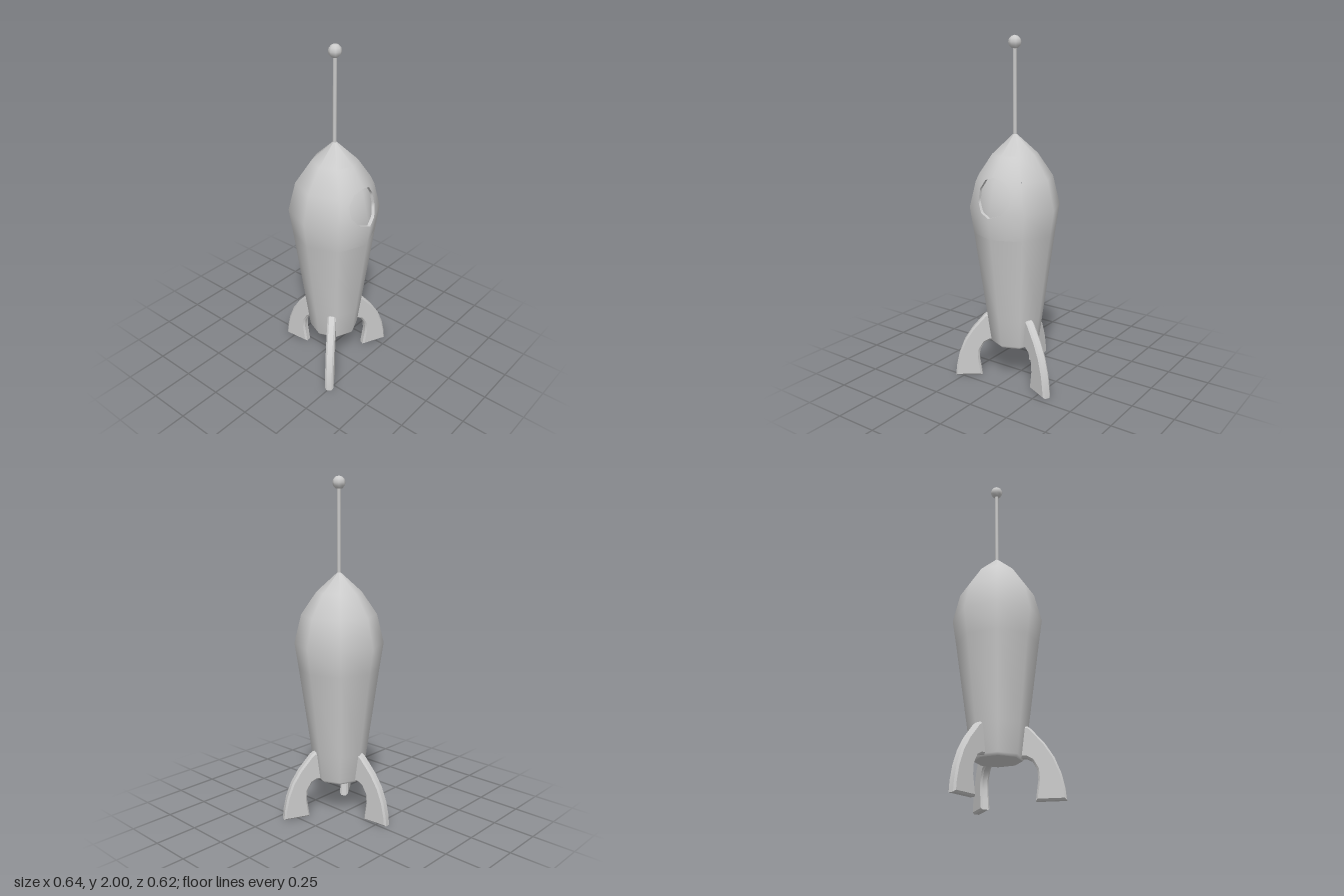
import * as THREE from 'three';
import { toCreasedNormals } from 'three/addons/utils/BufferGeometryUtils.js';

const material = new THREE.MeshStandardMaterial({ color: 0xcccccc });
const doubleSided = new THREE.MeshStandardMaterial({ color: 0xcccccc, side: THREE.DoubleSide });

// Hull profile as [radius, height], bottom to top
const PROFILE = [
  [0.132, 0.22], [0.145, 0.235], [0.168, 0.4], [0.238, 0.9],
  [0.261, 1.053], [0.22, 1.222], [0.13, 1.354], [0.003, 1.47],
];
const SIDES = 8;
const S = Math.SQRT1_2;
// Profile rows whose two front facets are replaced by the window panel
const ROW_FROM = 3, ROW_TO = 6;
const WINDOW = { y: 1.135, radius: 0.11, depth: 0.02 };
const AROUND = 40;

function addMesh(parent, name, geometry, mat = material) {
  const mesh = new THREE.Mesh(geometry, mat);
  mesh.name = name;
  parent.add(mesh);
  return mesh;
}

// Interpolate a per-row value at a given height
function alongProfile(y, valueAt) {
  let i = 0;
  while (i < PROFILE.length - 2 && y > PROFILE[i + 1][1]) i++;
  const t = (y - PROFILE[i][1]) / (PROFILE[i + 1][1] - PROFILE[i][1]);
  return THREE.MathUtils.lerp(valueAt(i), valueAt(i + 1), t);
}
const radiusAt = (y) => alongProfile(y, (i) => PROFILE[i][0]);

// Upward tilt of the hull normal, averaged at each row
const segmentTilt = (i) => Math.atan2(PROFILE[i][0] - PROFILE[i + 1][0], PROFILE[i + 1][1] - PROFILE[i][1]);
const rowTilt = (i) => (segmentTilt(Math.max(i - 1, 0)) + segmentTilt(Math.min(i, PROFILE.length - 2))) / 2;

// Closed loops of points lying on the front facets of the hull
function frontSurface(steps, pointAt) {
  const pos = [], nor = [], index = [];
  for (let k = 0; k <= steps; k++) {
    for (let a = 0; a <= AROUND; a++) {
      const { x, y, inset } = pointAt(k / steps, (a / AROUND) * Math.PI * 2);
      const r = radiusAt(y);
      const turn = (x / (r * S)) * Math.PI / 4;
      const tilt = alongProfile(y, rowTilt);
      pos.push(x, y, r - Math.abs(x) * (Math.SQRT2 - 1) - inset);
      nor.push(Math.sin(turn) * Math.cos(tilt), Math.sin(tilt), Math.cos(turn) * Math.cos(tilt));
      if (k < steps && a < AROUND) {
        const p = k * (AROUND + 1) + a, q = p + AROUND + 1;
        index.push(p, q, q + 1, p, q + 1, p + 1);
      }
    }
  }
  const g = new THREE.BufferGeometry();
  g.setAttribute('position', new THREE.Float32BufferAttribute(pos, 3));
  g.setAttribute('normal', new THREE.Float32BufferAttribute(nor, 3));
  g.setIndex(index);
  return g;
}

// Ten-sided window outline
function windowPoint(angle, scale = 1) {
  const sector = Math.PI / 5;
  const local = THREE.MathUtils.euclideanModulo(angle - Math.PI / 2 + 1e-6, sector) - sector / 2;
  const r = scale * WINDOW.radius * Math.cos(sector / 2) / Math.cos(local);
  return { x: r * Math.cos(angle), y: WINDOW.y + r * Math.sin(angle) };
}

// Outer border of the window panel
function panelPoint(angle) {
  const c = Math.cos(angle), s = Math.sin(angle);
  const m = Math.max(Math.abs(c), Math.abs(s));
  const low = PROFILE[ROW_FROM][1], high = PROFILE[ROW_TO][1];
  const y = THREE.MathUtils.lerp(low, high, (s / m + 1) / 2);
  return { x: (c / m) * radiusAt(y) * S, y };
}

function buildHull() {
  const hull = new THREE.Group();
  hull.name = 'hull';

  // Eight-sided shell, open where the window panel sits
  const shell = new THREE.LatheGeometry(PROFILE.map(([r, y]) => new THREE.Vector2(r, y)), SIDES);
  const rows = PROFILE.length - 1;
  const kept = Array.from(shell.index.array).filter((_, n) => {
    const quad = Math.floor(n / 6);
    const side = Math.floor(quad / rows), row = quad % rows;
    const front = side === 0 || side === SIDES - 1;
    return !(front && row >= ROW_FROM && row < ROW_TO);
  });
  shell.setIndex(kept);
  addMesh(hull, 'shell', shell);

  // Flat underside
  const base = addMesh(hull, 'base', new THREE.CircleGeometry(PROFILE[0][0], SIDES));
  base.rotation.x = Math.PI / 2;
  base.position.y = PROFILE[0][1];

  // Panel around the window, the recess wall and the sunken glass
  addMesh(hull, 'windowPanel', frontSurface(8, (t, a) => {
    const p = windowPoint(a), q = panelPoint(a);
    return { x: THREE.MathUtils.lerp(p.x, q.x, t), y: THREE.MathUtils.lerp(p.y, q.y, t), inset: 0 };
  }));
  const wall = frontSurface(1, (t, a) => ({ ...windowPoint(a), inset: WINDOW.depth * (1 - t) }));
  wall.computeVertexNormals();
  addMesh(hull, 'windowRecess', wall, doubleSided);
  addMesh(hull, 'windowGlass', frontSurface(5, (t, a) => ({ ...windowPoint(a, Math.max(t, 0.001)), inset: WINDOW.depth })));
  return hull;
}

// Curved landing fin, drawn outward along x
function finGeometry() {
  const outline = [
    [0.2, 0], [0.36, 0], [0.355, 0.06], [0.338, 0.14], [0.305, 0.225], [0.258, 0.3],
    [0.185, 0.385], [0.165, 0.4], [0.145, 0.4], [0.11, 0.38],
    [0.11, 0.228], [0.155, 0.228], [0.185, 0.212], [0.212, 0.165], [0.216, 0.11], [0.207, 0.05],
  ];
  const shape = new THREE.Shape(outline.map(([x, y]) => new THREE.Vector2(x, y)));
  const bevel = 0.01, thickness = 0.05;
  const g = new THREE.ExtrudeGeometry(shape, {
    depth: thickness - 2 * bevel, bevelEnabled: true, bevelSegments: 1,
    bevelSize: bevel, bevelThickness: bevel, bevelOffset: -bevel,
  });
  g.translate(0, 0, -thickness / 2 + bevel);
  return toCreasedNormals(g, 0.6);
}

export function createModel() {
  const model = new THREE.Group();
  model.name = 'rocket';
  const rocket = new THREE.Group();
  rocket.name = 'rocketBody';
  rocket.position.set(-0.008, 0, 0.05);
  model.add(rocket);

  rocket.add(buildHull());

  // Antenna with ball tip
  const mast = addMesh(rocket, 'antennaMast', new THREE.CylinderGeometry(0.011, 0.011, 0.5, 8));
  mast.position.y = 1.7;
  const tip = addMesh(rocket, 'antennaBall', new THREE.SphereGeometry(0.037, 8, 6));
  tip.position.y = 1.963;

  // Three fins evenly spaced
  const fin = finGeometry();
  ['leftFin', 'rightFin', 'backFin'].forEach((name, i) => {
    const mesh = addMesh(rocket, name, fin);
    mesh.rotation.y = -THREE.MathUtils.degToRad(24.8 + i * 120);
  });
  return model;
}
